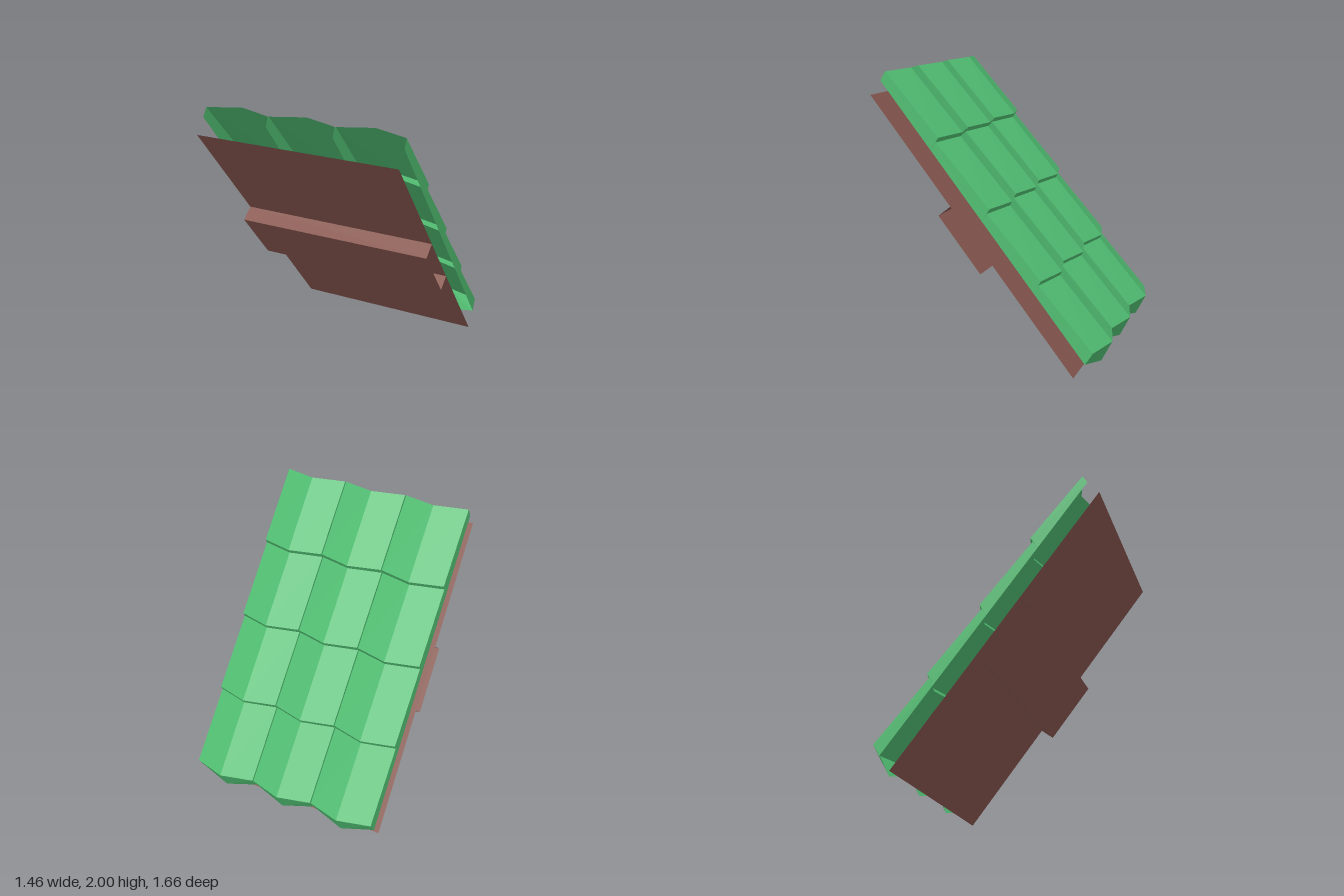
import * as THREE from 'three';

const tileGreen = new THREE.MeshStandardMaterial({ color: 0x4fbb70, side: THREE.DoubleSide });
tileGreen.name = 'tileGreen';
const woodBrown = new THREE.MeshStandardMaterial({ color: 0x87574f, side: THREE.DoubleSide });
woodBrown.name = 'woodBrown';

// Skins a list of cross-sections (each a list of [x, y, z]) with flat faces.
function skin(sections) {
  const pos = [];
  for (let i = 0; i + 1 < sections.length; i++) {
    const a = sections[i], b = sections[i + 1];
    for (let j = 0; j + 1 < a.length; j++) {
      pos.push(...a[j], ...b[j], ...b[j + 1], ...a[j], ...b[j + 1], ...a[j + 1]);
    }
  }
  const geo = new THREE.BufferGeometry();
  geo.setAttribute('position', new THREE.Float32BufferAttribute(pos, 3));
  geo.computeVertexNormals();
  return geo;
}

function addMesh(group, name, geo, mat) {
  const mesh = new THREE.Mesh(geo, mat);
  mesh.name = name;
  group.add(mesh);
  return mesh;
}

// One column of four overlapping ridged tiles, open underneath and at the top.
function tileColumn() {
  const half = 0.243, lipHalf = 0.239, rows = 4;
  const stepZ = 0.365, stepY = 0.457;
  const foot = [-0.71, 0.11], head = [0.75, 1.93]; // lower edge of the side walls, [z, y]

  // valley and ridge are [z, y]; f is the position along the side wall
  const section = (valley, ridge, f) => {
    const z = THREE.MathUtils.lerp(foot[0], head[0], f);
    const y = THREE.MathUtils.lerp(foot[1], head[1], f);
    return [
      [half, y, z],
      [lipHalf, valley[1], valley[0]],
      [0, ridge[1], ridge[0]],
      [-lipHalf, valley[1], valley[0]],
      [-half, y, z],
    ];
  };

  const sections = [section(foot, [-0.755, 0.05], 0)]; // thick bottom edge
  for (let k = 0; k <= rows; k++) {
    const z = k * stepZ, y = k * stepY;
    // upper end of the tile below, tucked under the next lip
    if (k > 0) sections.push(section([z - 0.745, y + 0.163], [z - 0.815, y + 0.172], k / rows));
    // overhanging lip
    if (k < rows) sections.push(section([z - 0.762, y + 0.195], [z - 0.83, y + 0.2], k / rows));
  }
  return skin(sections);
}

// Extrudes a [z, y] path across the full width as an open sheet.
function sheet(path, half = 0.73) {
  return skin(path.map(([z, y]) => [[-half, y, z], [half, y, z]]));
}

export function createModel() {
  const model = new THREE.Group();
  model.name = 'roofSection';

  // Tiles
  const tiles = new THREE.Group();
  tiles.name = 'roofTiles';
  const columnGeo = tileColumn();
  for (let i = -1; i <= 1; i++) {
    addMesh(tiles, 'tileColumn', columnGeo, tileGreen).position.x = i * 0.486;
  }
  model.add(tiles);

  // Sloping board below the tiles
  addMesh(model, 'underBoard', sheet([[0.83, 1.83], [-0.63, 0]]), woodBrown);

  // Open-ended beam under the board
  addMesh(model, 'supportBeam',
    sheet([[0.25, 1.104], [0.34, 1.032], [0.036, 0.651], [-0.054, 0.723]]), woodBrown);

  return model;
}
